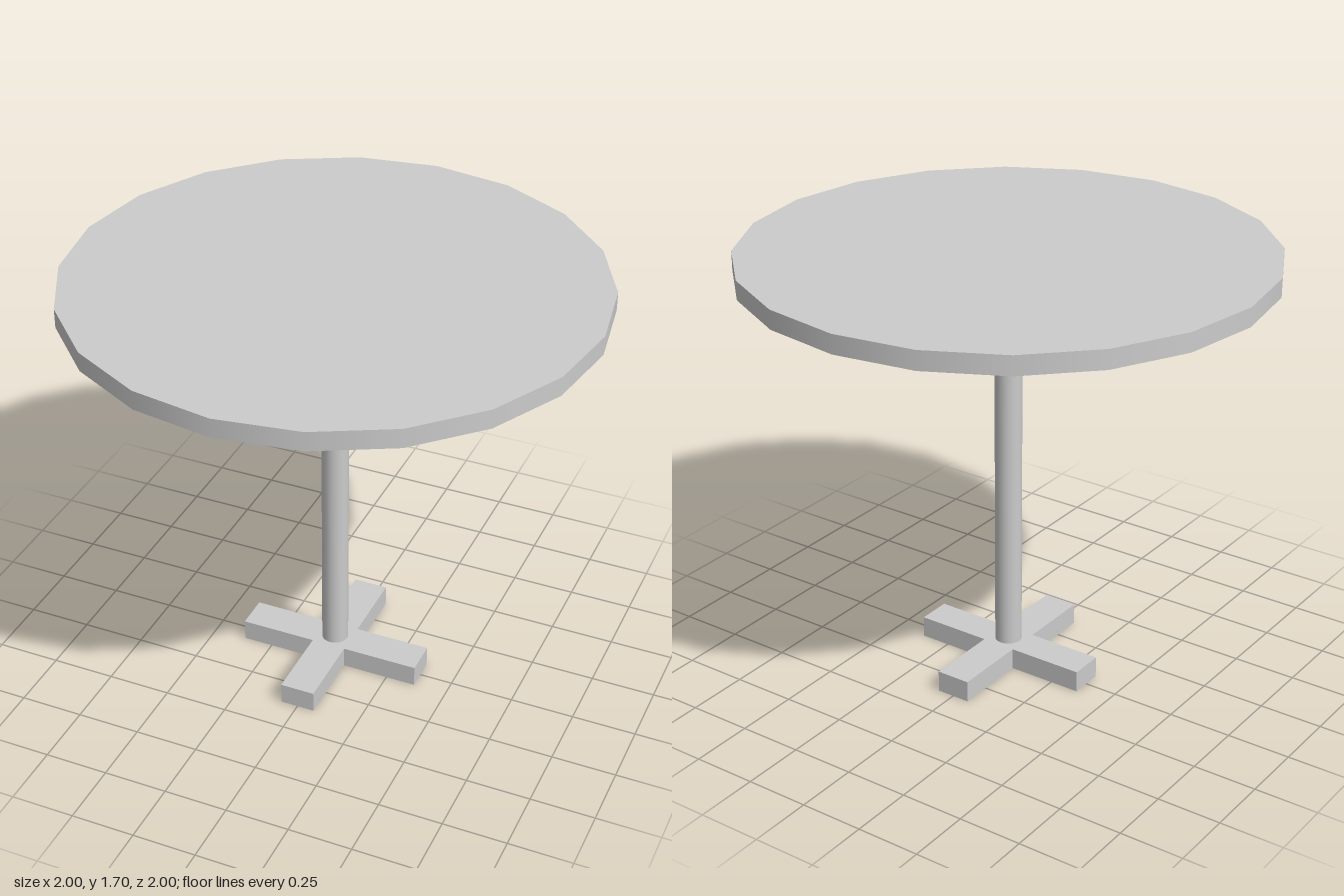
import * as THREE from 'three';

export function createModel() {
  const table = new THREE.Group();
  table.name = 'roundTable';
  const material = new THREE.MeshStandardMaterial({ color: 0xcccccc });

  const add = (name, geometry, y) => {
    const mesh = new THREE.Mesh(geometry, material);
    mesh.name = name;
    mesh.position.y = y;
    table.add(mesh);
  };

  const baseHeight = 0.085, topBottom = 1.627, topHeight = 1.7;

  // Round top with twenty sides
  const thickness = topHeight - topBottom;
  add('tableTop', new THREE.CylinderGeometry(1, 1, thickness, 20), topBottom + thickness / 2);

  // Central column between the base and the top
  const columnHeight = topBottom - baseHeight;
  add('column', new THREE.CylinderGeometry(0.052, 0.052, columnHeight, 20), baseHeight + columnHeight / 2);

  // Cross-shaped foot: one outline, three corners per arm
  const reach = 0.368, half = 0.068;
  const outline = [];
  for (let i = 0; i < 4; i++) {
    for (const [x, y] of [[reach, -half], [reach, half], [half, half]]) {
      outline.push(new THREE.Vector2(x, y).rotateAround(new THREE.Vector2(), i * Math.PI / 2));
    }
  }
  const foot = new THREE.ExtrudeGeometry(new THREE.Shape(outline), { depth: baseHeight, bevelEnabled: false });
  foot.rotateX(-Math.PI / 2);
  add('crossFoot', foot, 0);

  return table;
}
